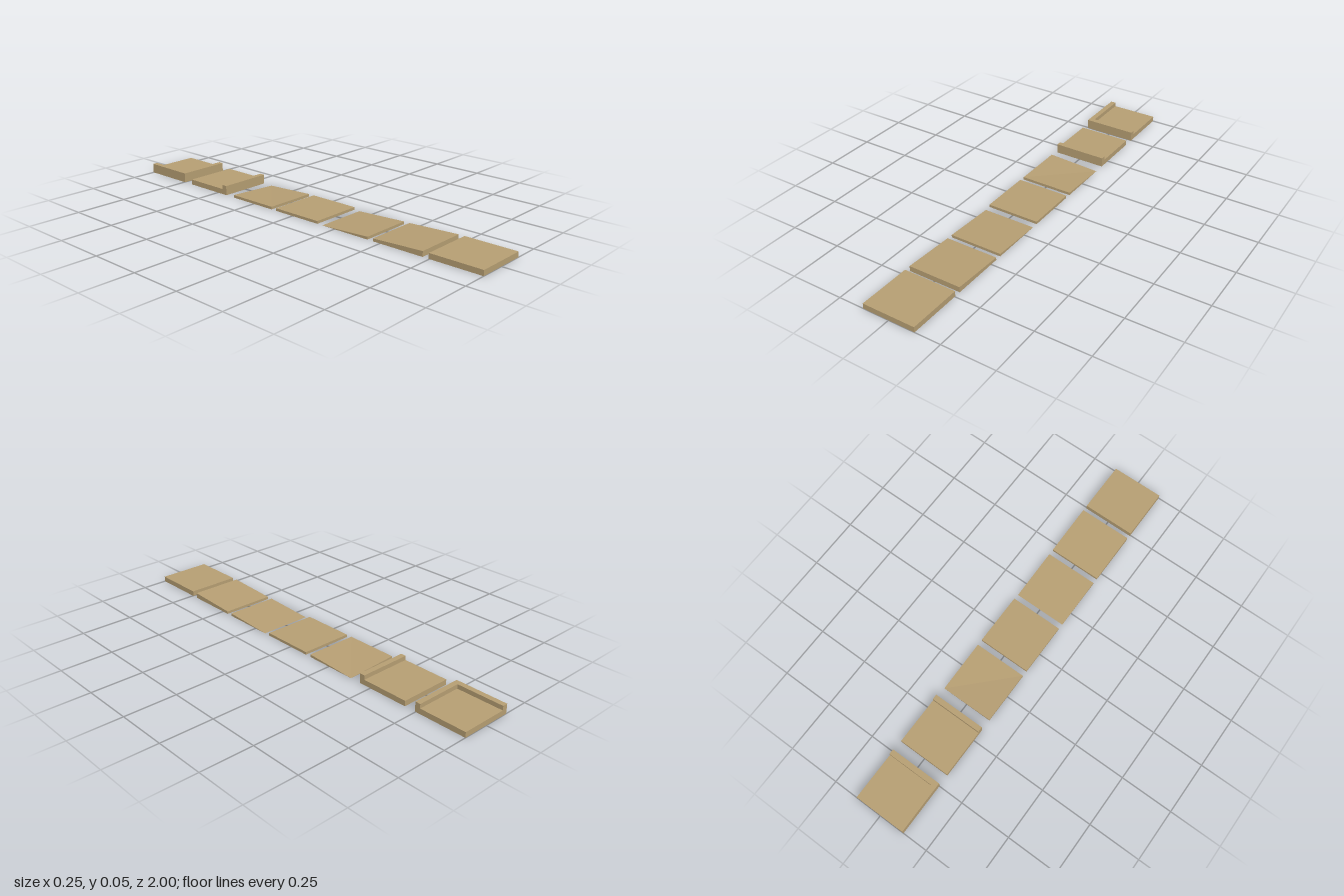
import * as THREE from 'three';

const SIZE = 0.254, HALF = SIZE / 2; // square tile
const THICK = 0.0254, THIN = 0.0127; // tile heights
const LIP = 0.0254, LIP_H = 0.0206; // raised edge width and height

export function createModel() {
  const model = new THREE.Group();
  const tan = new THREE.MeshStandardMaterial({ color: 0xb8a074 });
  tan.name = 'tan';

  // Slab with a height for each top corner, chosen by the signs of x and z
  function slab(name, heightAt) {
    const geo = new THREE.BoxGeometry(SIZE, 1, SIZE).toNonIndexed();
    const p = geo.attributes.position;
    for (let i = 0; i < p.count; i++) {
      p.setY(i, p.getY(i) > 0 ? heightAt(p.getX(i) > 0, p.getZ(i) > 0) : 0);
    }
    geo.computeVertexNormals();
    const mesh = new THREE.Mesh(geo, tan);
    mesh.name = name;
    return mesh;
  }

  function lip(name, w, d, x, z) {
    const mesh = new THREE.Mesh(new THREE.BoxGeometry(w, LIP_H, d), tan);
    mesh.name = name;
    mesh.position.set(x, THICK + LIP_H / 2, z);
    return mesh;
  }

  function tile(name, z, ...meshes) {
    const group = new THREE.Group();
    group.name = name;
    group.position.z = z;
    group.add(...meshes);
    model.add(group);
  }

  const edge = HALF - LIP / 2;

  // Flat and sloping tiles, front to back
  tile('thickTile', 0.873, slab('thickSlab', () => THICK));
  tile('upperRampTile', 0.59, slab('upperRamp', (right, front) => (front ? THICK : THIN)));
  tile('lowerRampTile', 0.307, slab('lowerRamp', (right, front) => (front ? THIN : 0)));
  tile('thinTile', 0.024, slab('thinSlab', () => THIN));
  // Valley tile: one back corner drops to the ground
  tile('valleyTile', -0.259, slab('valleySlab', (right, front) => (right && !front ? 0 : THIN)));

  // Tiles with raised edges
  tile('edgeTile', -0.566,
    slab('edgeSlab', () => THICK),
    lip('frontLip', SIZE, LIP, 0, edge));
  tile('cornerTile', -0.873,
    slab('cornerSlab', () => THICK),
    lip('sideLip', LIP, SIZE, -edge, 0),
    lip('frontLip', SIZE - LIP, LIP, LIP / 2, edge));

  return model;
}
